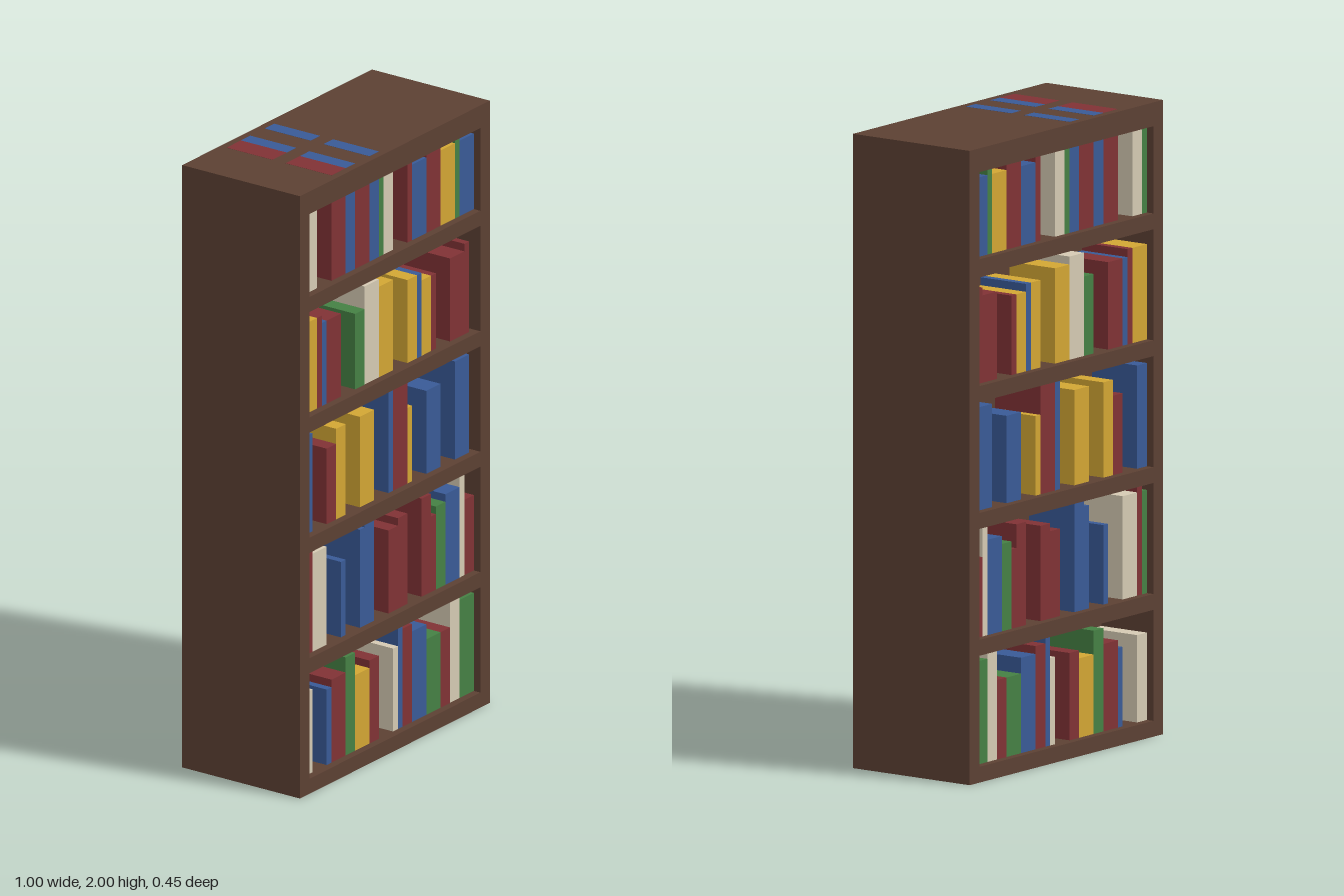
import * as THREE from 'three';

const U = 0.025; // unit of all book sizes
const GAP = 3; // empty space between groups of books
const USUAL = 11; // usual book height

// Shelves from the bottom up, each a list of groups standing side by side.
// A book is [colour, width, height]; the height is left out where it is the usual one.
const SHELVES = [
  [
    [['c', 2]],
    [['b', 1, 10], ['r', 3], ['g', 2, 13], ['y', 3, 10], ['r', 2]],
    [['c', 1], ['b', 1, 14], ['r', 2, 13], ['b', 3, 12], ['g', 3, 10], ['r', 2, 10], ['c', 2, 14], ['g', 3, 13]],
  ],
  [
    [['g', 1, 13], ['r', 1, 14], ['c', 3, 13]],
    [['b', 1, 10]],
    [['b', 1, 13], ['b', 2, 14]],
    [['r', 2], ['r', 2, 12]],
    [['r', 2, 13], ['r', 1, 10], ['g', 2], ['b', 3, 12], ['c', 1, 14], ['r', 2, 10]],
  ],
  [
    [['b', 2, 13]],
    [['r', 2, 10], ['y', 2, 12]],
    [['y', 3, 12]],
    [['b', 1, 14], ['r', 3, 14], ['y', 1, 10]],
    [['b', 3]],
    [['b', 3, 13]],
  ],
  [
    [['y', 3, 12], ['r', 1, 12], ['b', 1], ['r', 3]],
    [['g', 2, 10], ['c', 3, 13], ['y', 3, 12]],
    [['y', 2], ['b', 1], ['y', 2, 10], ['r', 1, 10]],
    [['r', 3], ['r', 1, 12]],
  ],
  // the tallest books here reach through the top board
  [
    [['g', 1], ['c', 2]],
    [['r', 3, 14], ['b', 2, 14], ['r', 3], ['b', 2, 14], ['g', 1], ['c', 2]],
    [['r', 1], ['b', 3, 10], ['r', 3], ['y', 3, 10], ['g', 1], ['b', 3, 10]],
  ],
];

function material(name, color) {
  const m = new THREE.MeshStandardMaterial({ color });
  m.name = name;
  return m;
}

// Box given by its lower and upper limits
function addBox(parent, name, mat, x0, x1, y0, y1, z0, z1) {
  const mesh = new THREE.Mesh(new THREE.BoxGeometry(x1 - x0, y1 - y0, z1 - z0), mat);
  mesh.position.set((x0 + x1) / 2, (y0 + y1) / 2, (z0 + z1) / 2);
  mesh.name = name;
  parent.add(mesh);
}

export function createModel() {
  const wood = material('dark wood', 0x5c4033);
  const covers = {
    r: material('red cover', 0x803235),
    b: material('blue cover', 0x395a96),
    g: material('green cover', 0x458044),
    y: material('yellow cover', 0xd2a634),
    c: material('cream cover', 0xd5cab3),
  };
  const model = new THREE.Group();
  model.name = 'bookcase';

  // Frame: sides, top and the central divider
  const frame = new THREE.Group();
  frame.name = 'frame';
  model.add(frame);
  addBox(frame, 'leftSide', wood, 0.45, 0.5, 0, 2, -0.225, 0.225);
  addBox(frame, 'rightSide', wood, -0.5, -0.45, 0, 2, -0.225, 0.225);
  addBox(frame, 'topBoard', wood, -0.45, 0.45, 1.925, 2, -0.225, 0.225);
  addBox(frame, 'divider', wood, -0.45, 0.45, 0.05, 1.925, -0.025, 0.025);

  SHELVES.forEach((groups, i) => {
    const y = 0.4 * i + 0.05;
    addBox(frame, 'shelfBoard', wood, -0.45, 0.45, y - 0.05, y, -0.225, 0.225);

    // Books, the same row on the front and the back
    const row = new THREE.Group();
    row.name = `bookRow${i + 1}`;
    model.add(row);
    let x = -0.45;
    for (const group of groups) {
      for (const [colour, width, height = USUAL] of group) {
        const right = x + width * U;
        const top = y + height * U + 0.0005;
        addBox(row, 'frontBook', covers[colour], x, right, y, top, 0.025, 0.2);
        addBox(row, 'backBook', covers[colour], x, right, y, top, -0.2, -0.025);
        x = right;
      }
      x += GAP * U;
    }
  });
  return model;
}
